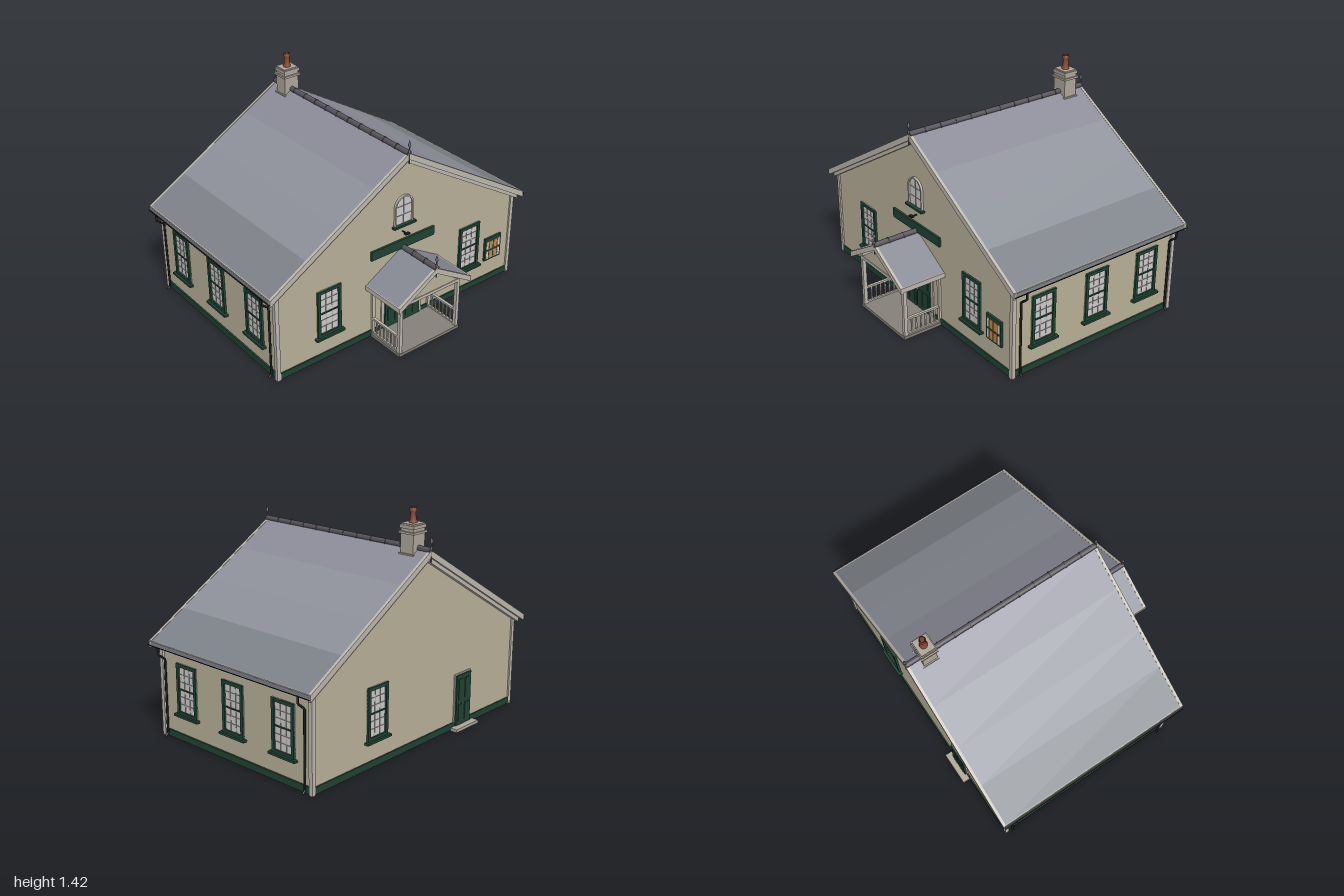
import * as THREE from 'three';

const mat = (color, extra = {}) => new THREE.MeshStandardMaterial({ color, ...extra });
const M = {
  wall: mat(0xb8b098), trim: mat(0xbdb8ae), green: mat(0x1f4232), glass: mat(0xcccccc),
  bar: mat(0x9c9a92), black: mat(0x1c1c1c, { side: THREE.DoubleSide }), ridge: mat(0x57545a),
  stone: mat(0xada69a), clay: mat(0x8a4a32), brass: mat(0xb8923a), base: mat(0x5a4e44),
  deck: mat(0x85807a), paper: mat(0xd8d0b8), note: mat(0xc08a50), iron: mat(0x6a6a6e),
};
const SLATES = [[0, 0.25, 0x8b8c98], [0.25, 0.5, 0x8f929b], [0.5, 0.73, 0x8d9199], [0.73, 0.985, 0x7e8389]];
const SLOPE = 0.6;

function add(parent, name, geo, material, x = 0, y = 0, z = 0) {
  const m = new THREE.Mesh(geo, material);
  m.name = name;
  m.position.set(x, y, z);
  parent.add(m);
  return m;
}
// box given by its limits on each axis
function box(parent, name, material, x0, x1, y0, y1, z0, z1) {
  return add(parent, name, new THREE.BoxGeometry(x1 - x0, y1 - y0, z1 - z0), material,
    (x0 + x1) / 2, (y0 + y1) / 2, (z0 + z1) / 2);
}
function cyl(parent, name, material, r0, r1, h, x, y, z, sides = 12) {
  return add(parent, name, new THREE.CylinderGeometry(r1, r0, h, sides), material, x, y, z);
}
// outline in x and y, extruded from z0 to z1
function prism(parent, name, material, pts, z0, z1) {
  const shape = new THREE.Shape(pts.map(p => new THREE.Vector2(...p)));
  const geo = new THREE.ExtrudeGeometry(shape, { depth: z1 - z0, bevelEnabled: false });
  return add(parent, name, geo, material, 0, 0, z0);
}
// one sloping strip on side s, between distances a and b from the ridge line
function strip(parent, name, material, s, a, b, apex, thick, z0, z1) {
  const y = x => apex - SLOPE * x;
  prism(parent, name, material,
    [[s * a, y(a)], [s * b, y(b)], [s * b, y(b) - thick], [s * a, y(a) - thick]], z0, z1);
}

// sash window facing +z, its centre at the origin
function sashWindow(w = 0.17, h = 0.32) {
  const g = new THREE.Group(), t = 0.02, x = w / 2, y = h / 2;
  g.name = 'sashWindow';
  box(g, 'glass', M.glass, -x, x, -y, y, -0.01, 0.003);
  for (const s of [-1, 1]) {
    const jamb = box(g, 'jamb', M.green, -t / 2, t / 2, -y, y, 0, 0.014);
    jamb.position.x = s * (x - t / 2);
    const rail = box(g, 'rail', M.green, -x, x, -t / 2, t / 2, 0, 0.0135);
    rail.position.y = s * (y - t / 2);
    box(g, 'glazingBar', M.bar, s * 0.022 - 0.0015, s * 0.022 + 0.0015, -y, y, 0, 0.006);
    for (const k of [1, 2]) {
      const yy = s * k * (y - t) / 3;
      box(g, 'glazingBar', M.bar, -x, x, yy - 0.0015, yy + 0.0015, 0, 0.006);
    }
  }
  box(g, 'meetingRail', M.green, -x, x, -0.004, 0.004, 0, 0.009);
  box(g, 'sill', M.green, -x - 0.018, x + 0.018, -y - 0.012, -y + 0.002, 0, 0.028);
  return g;
}
function finial(parent, y, z) {
  const pts = [[0.005, -0.07], [0.005, 0], [0.009, 0.008], [0.004, 0.02], [0.004, 0.035], [0.01, 0.048], [0.007, 0.058], [0, 0.08]];
  add(parent, 'finial', new THREE.LatheGeometry(pts.map(p => new THREE.Vector2(...p)), 10), M.iron, 0, y, z);
}
// rounded ridge tiles with a collar at every joint
function ridgeTiles(parent, y, z0, z1, n) {
  const len = (z1 - z0) / n;
  for (let i = 0; i < n; i++) {
    const z = z0 + len * (i + 0.5);
    cyl(parent, 'ridgeTile', M.ridge, 0.017, 0.017, len, 0, y, z).rotation.x = Math.PI / 2;
    if (i) cyl(parent, 'ridgeJoint', M.ridge, 0.02, 0.02, 0.008, 0, y, z - len / 2).rotation.x = Math.PI / 2;
  }
}
// panelled door leaf with its base centre at x, y
function door(parent, x, y, w, h, z, dir) {
  const zBox = (name, m, a, b, c, d, depth) => {
    const e = z + dir * depth;
    box(parent, name, m, a, b, c, d, Math.min(z, e), Math.max(z, e));
  };
  zBox('doorLeaf', M.green, x - w / 2, x + w / 2, y, y + h, 0.012);
  for (const s of [-1, 1]) for (const [a, b] of [[0.08, 0.42], [0.52, 0.92]]) {
    const cx = x + s * w * 0.22;
    zBox('doorPanel', M.green, cx - w * 0.15, cx + w * 0.15, y + a * h, y + b * h, 0.016);
  }
}

export function createModel() {
  const root = new THREE.Group();
  root.name = 'villageHall';
  const F = 0.49, B = -0.745, W = 0.92;

  // walls, floor, plinth and corner boards
  prism(root, 'walls', M.wall, [[-W, 0.006], [W, 0.006], [W, 0.61], [0, 1.162], [-W, 0.61]], B, F);
  box(root, 'floor', M.base, -W, W, 0, 0.006, B, F);
  box(root, 'plinth', M.green, -W - 0.01, W + 0.01, 0.004, 0.046, B - 0.008, F + 0.008);
  for (const s of [-1, 1]) for (const z of [F - 0.003, B + 0.003])
    add(root, 'cornerBoard', new THREE.BoxGeometry(0.026, 0.6, 0.026), M.trim, s * 0.922, 0.3, z);

  // main roof, gable boards, eaves and rainwater pipes
  for (const s of [-1, 1]) {
    for (const [a, b, c] of SLATES)
      strip(root, 'roofSlates', mat(c), s, a, b, 1.19, 0.028, -0.79, 0.53);
    for (const [z0, z1, d] of [[0.515, 0.533, 0], [F, 0.515, 0.026], [-0.793, -0.775, 0], [-0.775, B, 0.026]])
      strip(root, 'gableBoard', M.trim, s, 0, d ? 0.95 : 0.985, 1.192 - d, 0.04, z0, z1);
    const x0 = s * 0.955, x1 = s * 0.984;
    box(root, 'eavesBoard', M.trim, Math.min(x0, x1), Math.max(x0, x1), 0.578, 0.604, -0.79, 0.53);
    const gutter = new THREE.CylinderGeometry(0.011, 0.011, 1.32, 10, 1, true, -Math.PI / 2, Math.PI);
    add(root, 'gutter', gutter, M.black, s * 0.989, 0.585, -0.13).rotation.x = Math.PI / 2;
    for (const z of [0.445, -0.705]) {
      const path = new THREE.CurvePath();
      const p = [[0.989, 0.578], [0.989, 0.535], [0.94, 0.495], [0.94, 0.025], [0.958, 0.008]]
        .map(([x, y]) => new THREE.Vector3(s * x, y, z));
      for (let i = 1; i < p.length; i++) path.add(new THREE.LineCurve3(p[i - 1], p[i]));
      add(root, 'downpipe', new THREE.TubeGeometry(path, 60, 0.007, 8), M.black);
    }
  }
  ridgeTiles(root, 1.192, -0.79, 0.53, 12);
  finial(root, 1.195, 0.53);
  finial(root, 1.195, -0.79);

  // chimney
  const chimney = new THREE.Group();
  chimney.name = 'chimney';
  chimney.position.z = -0.655;
  for (const [n, hx, y0, y1] of [['stack', 0.046, 1.15, 1.32], ['flashing', 0.054, 1.15, 1.162],
    ['lowerBand', 0.056, 1.275, 1.288], ['cap', 0.052, 1.305, 1.325], ['capTop', 0.046, 1.325, 1.333]])
    box(chimney, n, M.stone, -hx - 0.006, hx + 0.006, y0, y1, -hx, hx);
  const pot = [[0.024, 1.33], [0.024, 1.345], [0.018, 1.352], [0.016, 1.395], [0.021, 1.4], [0.021, 1.42], [0.013, 1.42], [0.012, 1.34]];
  add(chimney, 'chimneyPot', new THREE.LatheGeometry(pot.map(p => new THREE.Vector2(...p)), 16), M.clay);
  root.add(chimney);

  // sash windows: x, z and turn
  const spots = [[-0.555, F, 0], [0.555, F, 0], [0.4, B, Math.PI]];
  for (const z of [0.27, -0.13, -0.53]) spots.push([W, z, Math.PI / 2], [-W, z, -Math.PI / 2]);
  for (const [x, z, turn] of spots) {
    const w = sashWindow();
    w.position.set(x, 0.33, z);
    w.rotation.y = turn;
    root.add(w);
  }

  // arched window in the gable
  const arch = r => {
    const s = new THREE.Shape();
    s.moveTo(-r, 0.715).lineTo(r, 0.715).lineTo(r, 0.835).absarc(0, 0.835, r, 0, Math.PI, false);
    return s.lineTo(-r, 0.715);
  };
  const rim = arch(0.071);
  rim.holes.push(arch(0.061));
  add(root, 'archFrame', new THREE.ExtrudeGeometry(rim, { depth: 0.014, bevelEnabled: false, curveSegments: 16 }), M.trim, 0, 0, F);
  add(root, 'archGlass', new THREE.ExtrudeGeometry(arch(0.062), { depth: 0.004, bevelEnabled: false, curveSegments: 16 }), M.glass, 0, 0, F);
  box(root, 'archBar', M.bar, -0.002, 0.002, 0.715, 0.895, F, F + 0.008);
  for (const y of [0.775, 0.835]) box(root, 'archBar', M.bar, -0.06, 0.06, y - 0.0015, y + 0.0015, F, F + 0.007);
  box(root, 'archSill', M.green, -0.085, 0.085, 0.703, 0.716, F, F + 0.028);

  // blank name board with its lamp
  box(root, 'nameBoard', M.green, -0.245, 0.245, 0.547, 0.607, F, F + 0.014);
  box(root, 'lampArm', M.black, -0.003, 0.003, 0.655, 0.661, F, F + 0.04);
  box(root, 'lampShade', M.black, -0.017, 0.017, 0.655, 0.664, F + 0.03, F + 0.05);

  // notice board
  box(root, 'noticeFrame', M.green, 0.7, 0.84, 0.165, 0.33, F, F + 0.014);
  for (const [x, w, m] of [[0.712, 0.018, M.paper], [0.736, 0.03, M.note], [0.774, 0.03, M.note], [0.81, 0.018, M.paper]])
    for (const y of [0.178, 0.25]) box(root, 'notice', m, x, x + w, y, y + 0.056, F, F + 0.017);

  // front double doors in a pale frame
  box(root, 'doorSurround', M.trim, -0.16, 0.16, 0.02, 0.362, F, F + 0.008);
  for (const s of [-1, 1]) {
    door(root, s * 0.072, 0.022, 0.132, 0.323, F + 0.006, 1);
    for (const [x, y] of [[0.072, 0.232], [0.016, 0.155]])
      add(root, 'doorKnob', new THREE.SphereGeometry(0.006, 8, 6), M.brass, s * x, y, F + 0.024);
  }

  // back door and step
  box(root, 'backDoorFrame', M.trim, -0.48, -0.32, 0.02, 0.355, B - 0.008, B);
  door(root, -0.4, 0.022, 0.142, 0.325, B - 0.006, -1);
  add(root, 'doorKnob', new THREE.SphereGeometry(0.006, 8, 6), M.brass, -0.35, 0.17, B - 0.024);
  box(root, 'backStep', M.stone, -0.51, -0.29, 0, 0.02, -0.8, B);

  // porch
  const porch = new THREE.Group();
  porch.name = 'porch';
  box(porch, 'porchFloor', M.deck, -0.24, 0.24, 0, 0.02, F, 0.762);
  prism(porch, 'porchGable', M.wall, [[-0.225, 0.36], [0.225, 0.36], [0, 0.515]], 0.742, 0.752);
  box(porch, 'tieBeam', M.trim, -0.235, 0.235, 0.345, 0.365, 0.735, 0.757);
  for (const s of [-1, 1]) {
    strip(porch, 'porchSlates', mat(0x878994), s, 0, 0.28, 0.55, 0.022, F, 0.797);
    strip(porch, 'porchGableBoard', M.trim, s, 0, 0.28, 0.552, 0.036, 0.782, 0.8);
    const span = (name, m, a, b, ...rest) => box(porch, name, m, Math.min(s * a, s * b), Math.max(s * a, s * b), ...rest);
    span('porchEaves', M.trim, 0.262, 0.281, 0.355, 0.386, F, 0.8);
    span('sideBeam', M.trim, 0.215, 0.235, 0.345, 0.385, F, 0.755);
    span('post', M.trim, 0.214, 0.236, 0.02, 0.36, 0.732, 0.756);
    span('wallPost', M.trim, 0.214, 0.236, 0.02, 0.36, F, 0.504);
    span('handRail', M.trim, 0.216, 0.234, 0.125, 0.137, F, 0.74);
    span('bottomRail', M.trim, 0.218, 0.232, 0.024, 0.034, F, 0.74);
    for (let i = 1; i <= 6; i++) {
      const z = 0.5 + i * 0.033;
      span('baluster', M.trim, 0.221, 0.229, 0.03, 0.128, z - 0.004, z + 0.004);
    }
  }
  ridgeTiles(porch, 0.552, F, 0.8, 3);
  finial(porch, 0.56, 0.794);
  root.add(porch);
  return root;
}
